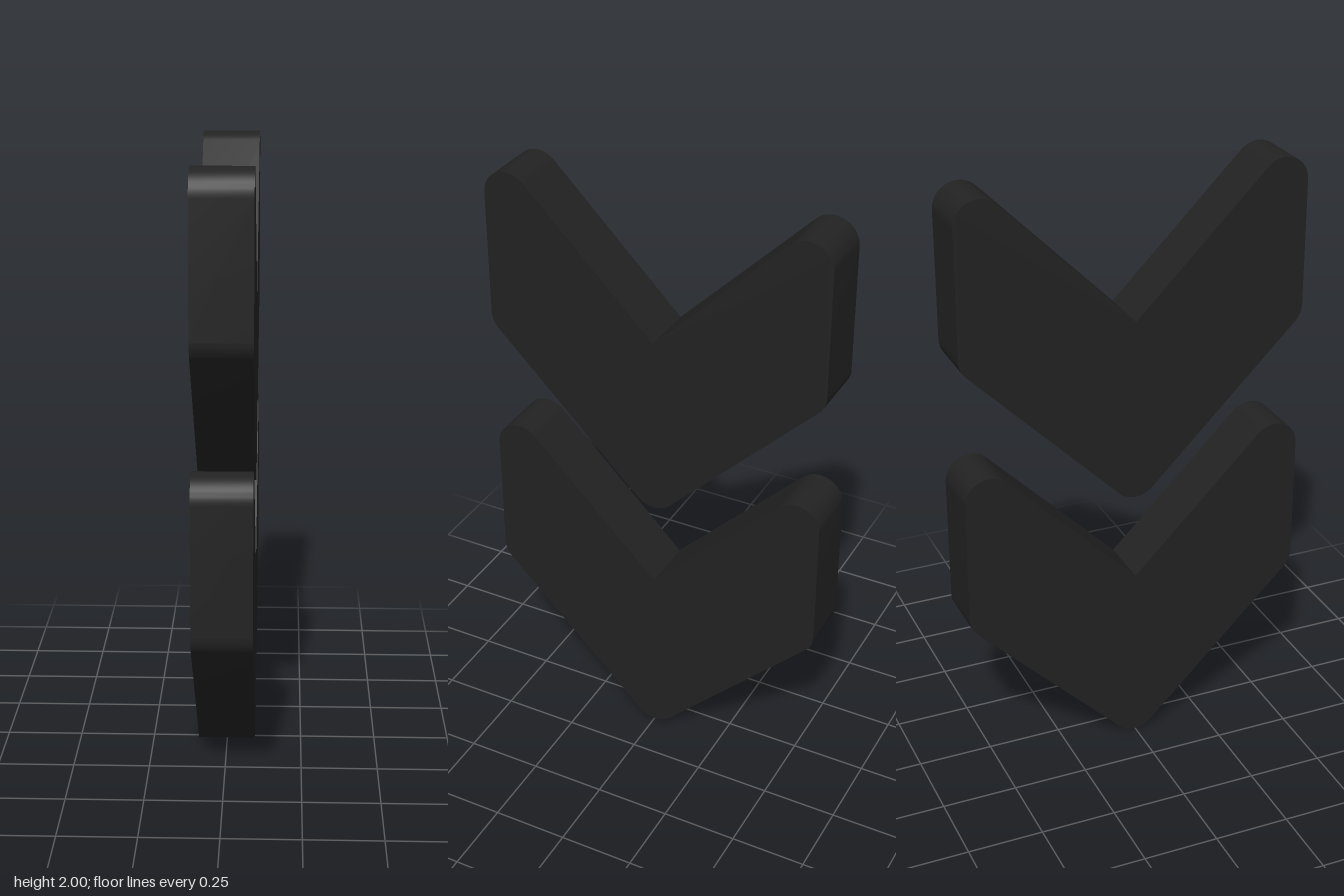
import * as THREE from 'three';
import { toCreasedNormals } from 'three/addons/utils/BufferGeometryUtils.js';

const HALF_WIDTH = 0.583, HEIGHT = 1.084, NOTCH = 0.616, RADIUS = 0.082, THICKNESS = 0.19;

// V-shaped outline with rounded outer corners and a sharp inner notch
function chevronShape() {
  const r = RADIUS, cx = HALF_WIDTH - r, q = Math.PI / 4;
  const sideY = HALF_WIDTH - r * (Math.SQRT2 - 1) + r * Math.tan(q / 2);
  const shape = new THREE.Shape();
  shape.absarc(0, r, r, -3 * q, -q);
  shape.absarc(cx, sideY, r, -q, 0);
  shape.absarc(cx, HEIGHT - r, r, 0, 3 * q);
  shape.lineTo(0, NOTCH);
  shape.absarc(-cx, HEIGHT - r, r, q, 4 * q);
  shape.absarc(-cx, sideY, r, 4 * q, 5 * q);
  shape.closePath();
  return shape;
}

export function createModel() {
  const group = new THREE.Group();
  group.name = 'doubleChevron';
  const material = new THREE.MeshStandardMaterial({ color: 0x222222 });

  // Plate extruded along x, with the outline in the z-y plane
  const extruded = new THREE.ExtrudeGeometry(chevronShape(), {
    depth: THICKNESS, bevelEnabled: false, curveSegments: 10,
  });
  extruded.translate(0, 0, -THICKNESS / 2).rotateY(-Math.PI / 2);
  const geometry = toCreasedNormals(extruded, 0.5);

  // Two identical chevrons stacked vertically
  [['lowerChevron', 0], ['upperChevron', 2 - HEIGHT]].forEach(([name, y]) => {
    const mesh = new THREE.Mesh(geometry, material);
    mesh.name = name;
    mesh.position.y = y;
    group.add(mesh);
  });
  return group;
}
